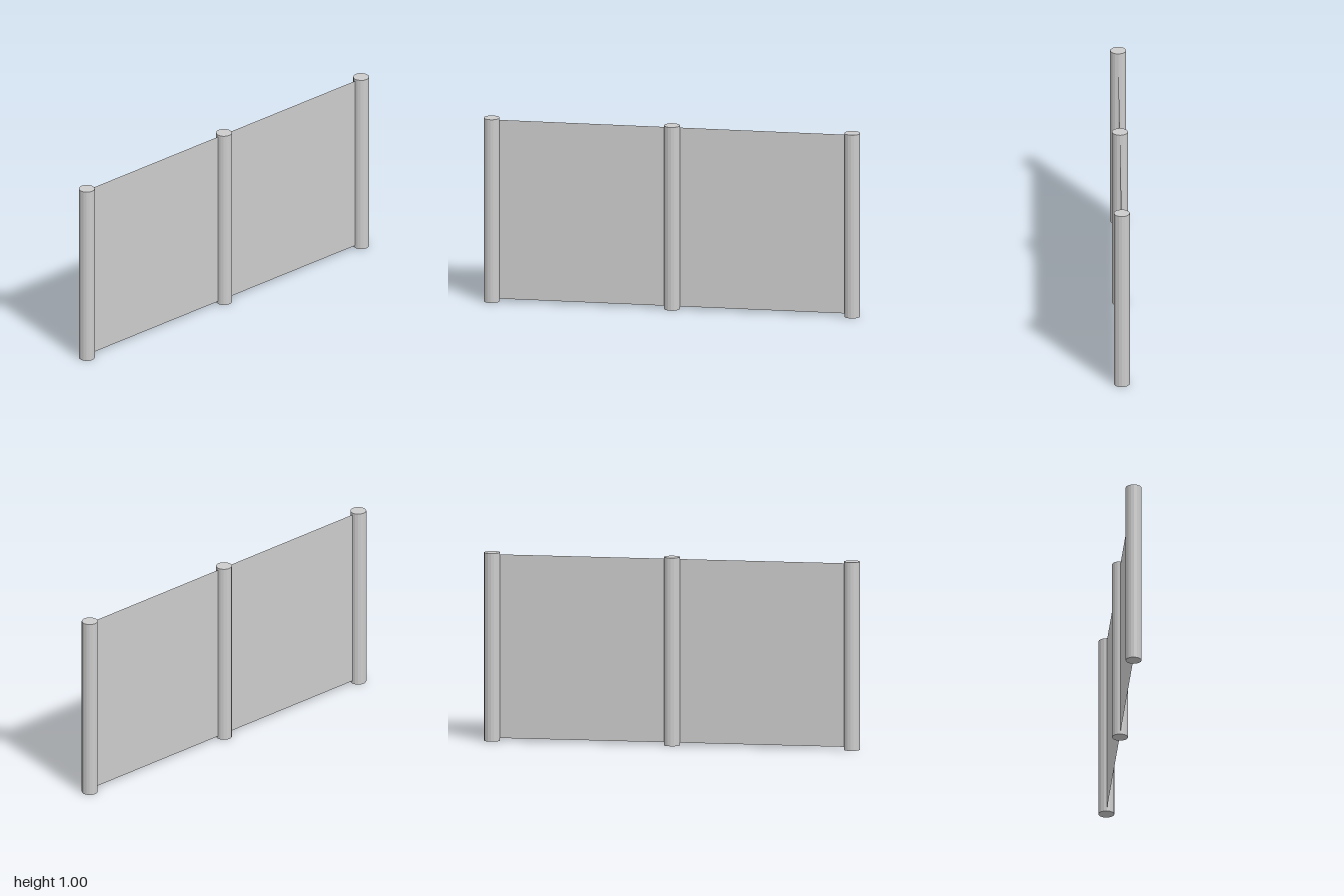
import * as THREE from 'three';

const HEIGHT = 1;
const RADIUS = 0.042;
const SPACING = 0.958;

export function createModel() {
  const model = new THREE.Group();
  model.name = 'fence';

  const postMaterial = new THREE.MeshStandardMaterial({ color: 0xcccccc, flatShading: true });
  const panelMaterial = new THREE.MeshStandardMaterial({ color: 0xcccccc, side: THREE.DoubleSide });

  // Three upright round posts in a row along z
  const postGeometry = new THREE.CylinderGeometry(RADIUS, RADIUS, HEIGHT, 16);
  ['backPost', 'middlePost', 'frontPost'].forEach((name, i) => {
    const post = new THREE.Mesh(postGeometry, postMaterial);
    post.name = name;
    post.position.set(0, HEIGHT / 2, (i - 1) * SPACING);
    model.add(post);
  });

  // Thin sheets stretched between the posts, just short of their ends
  const panelGeometry = new THREE.PlaneGeometry(SPACING, 0.975).rotateY(Math.PI / 2);
  ['backPanel', 'frontPanel'].forEach((name, i) => {
    const panel = new THREE.Mesh(panelGeometry, panelMaterial);
    panel.name = name;
    panel.position.set(0, 0.502, (i - 0.5) * SPACING);
    model.add(panel);
  });

  return model;
}
